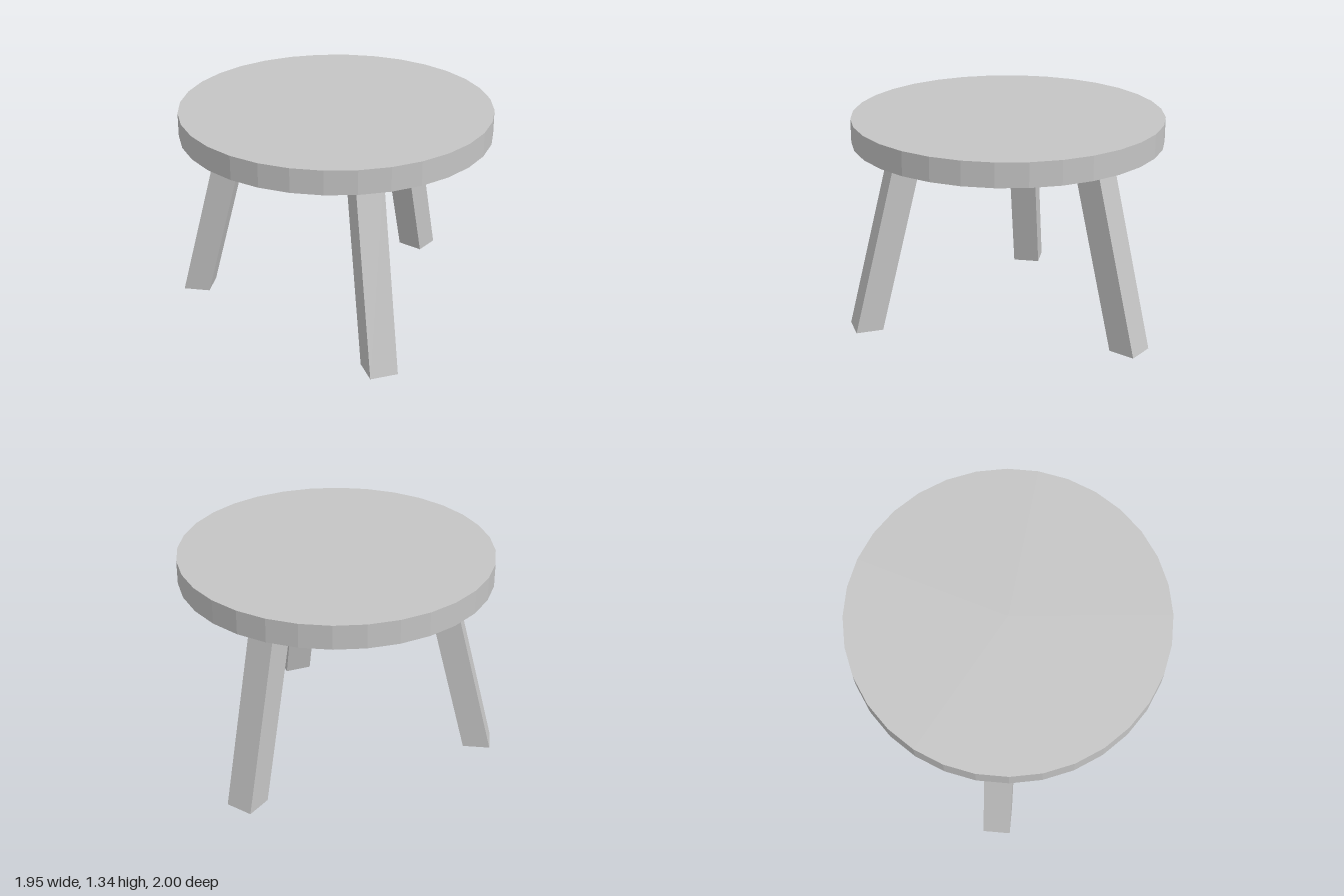
import * as THREE from 'three';

const LEG_TOP = 1.19;
const SEAT_THICKNESS = 0.15;

// Square post sheared so both ends stay level; foot and lean are [x, z]
function makeLeg(name, foot, lean, angle, material) {
  const geometry = new THREE.BoxGeometry(0.175, LEG_TOP, 0.172);
  geometry.rotateY(angle);
  geometry.translate(0, LEG_TOP / 2, 0);
  const shear = new THREE.Matrix4().set(
    1, lean[0] / LEG_TOP, 0, foot[0],
    0, 1, 0, 0,
    0, lean[1] / LEG_TOP, 1, foot[1],
    0, 0, 0, 1
  );
  geometry.applyMatrix4(shear);
  geometry.computeVertexNormals();
  const leg = new THREE.Mesh(geometry, material);
  leg.name = name;
  return leg;
}

export function createModel() {
  const model = new THREE.Group();
  model.name = 'stool';

  const grey = new THREE.MeshStandardMaterial({ color: 0xc4c4c4 });
  grey.name = 'light grey';
  grey.flatShading = true;

  // Round seat
  const seat = new THREE.Mesh(new THREE.CylinderGeometry(0.976, 0.976, SEAT_THICKNESS, 32), grey);
  seat.name = 'seat';
  seat.position.set(0, LEG_TOP + SEAT_THICKNESS / 2, -0.024);
  model.add(seat);

  // Three splayed legs
  const legs = [
    ['frontLeg', [-0.04, 0.914], [0, -0.3], 0],
    ['backLeftLeg', [0.787, -0.552], [-0.247, 0.174], Math.atan2(0.14, -0.095)],
    ['backRightLeg', [-0.827, -0.451], [0.265, 0.145], Math.atan2(-0.16, -0.085)],
  ];
  for (const [name, foot, lean, angle] of legs) {
    model.add(makeLeg(name, foot, lean, angle, grey));
  }

  return model;
}
